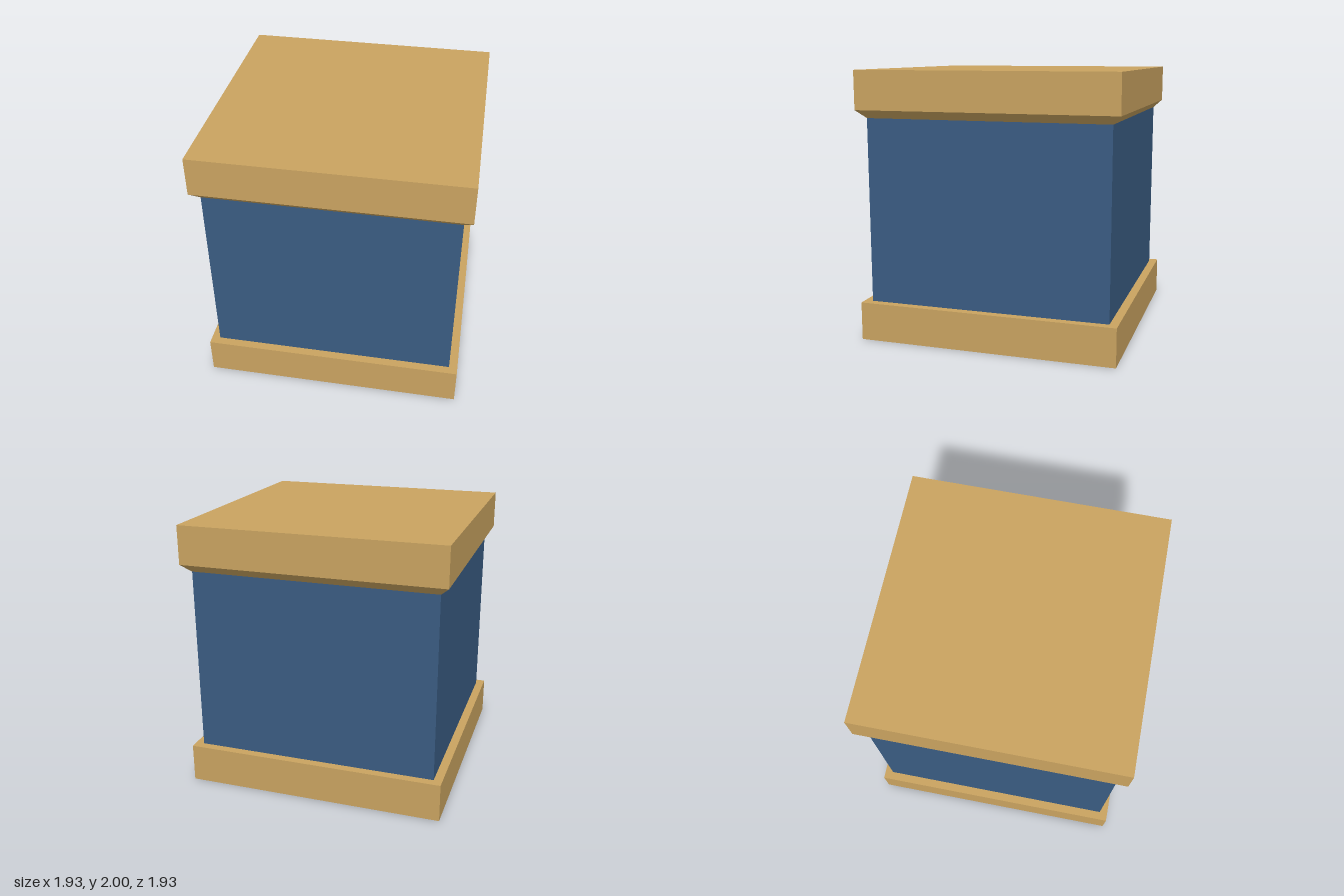
import * as THREE from 'three';

export function createModel() {
  const model = new THREE.Group();
  model.name = 'pedestalBlock';

  const tan = new THREE.MeshStandardMaterial({ name: 'tan', color: 0xc9a360, flatShading: true });
  const blue = new THREE.MeshStandardMaterial({ name: 'blue', color: 0x3a5c82, flatShading: true });

  const edge = 0.963;   // half width of base and lid
  const waist = 0.9;    // half width of body

  // Square block between two heights, with its own half widths at bottom and top
  function block(name, material, y0, y1, bottom, top = bottom, open = false) {
    const geometry = new THREE.CylinderGeometry(
      top * Math.SQRT2, bottom * Math.SQRT2, y1 - y0, 4, 1, open, Math.PI / 4);
    const mesh = new THREE.Mesh(geometry, material);
    mesh.name = name;
    mesh.position.y = (y0 + y1) / 2;
    model.add(mesh);
  }

  // Plinth
  block('base', tan, 0, 0.285, edge);
  // Walls, closed off by the base and the lid
  block('body', blue, 0.285, 1.655, waist, waist, true);
  // Sloped moulding that flares from the body out to the lid
  block('lidBevel', tan, 1.655, 1.715, waist, edge, true);
  // Lid slab
  block('lid', tan, 1.715, 2, edge);

  return model;
}
